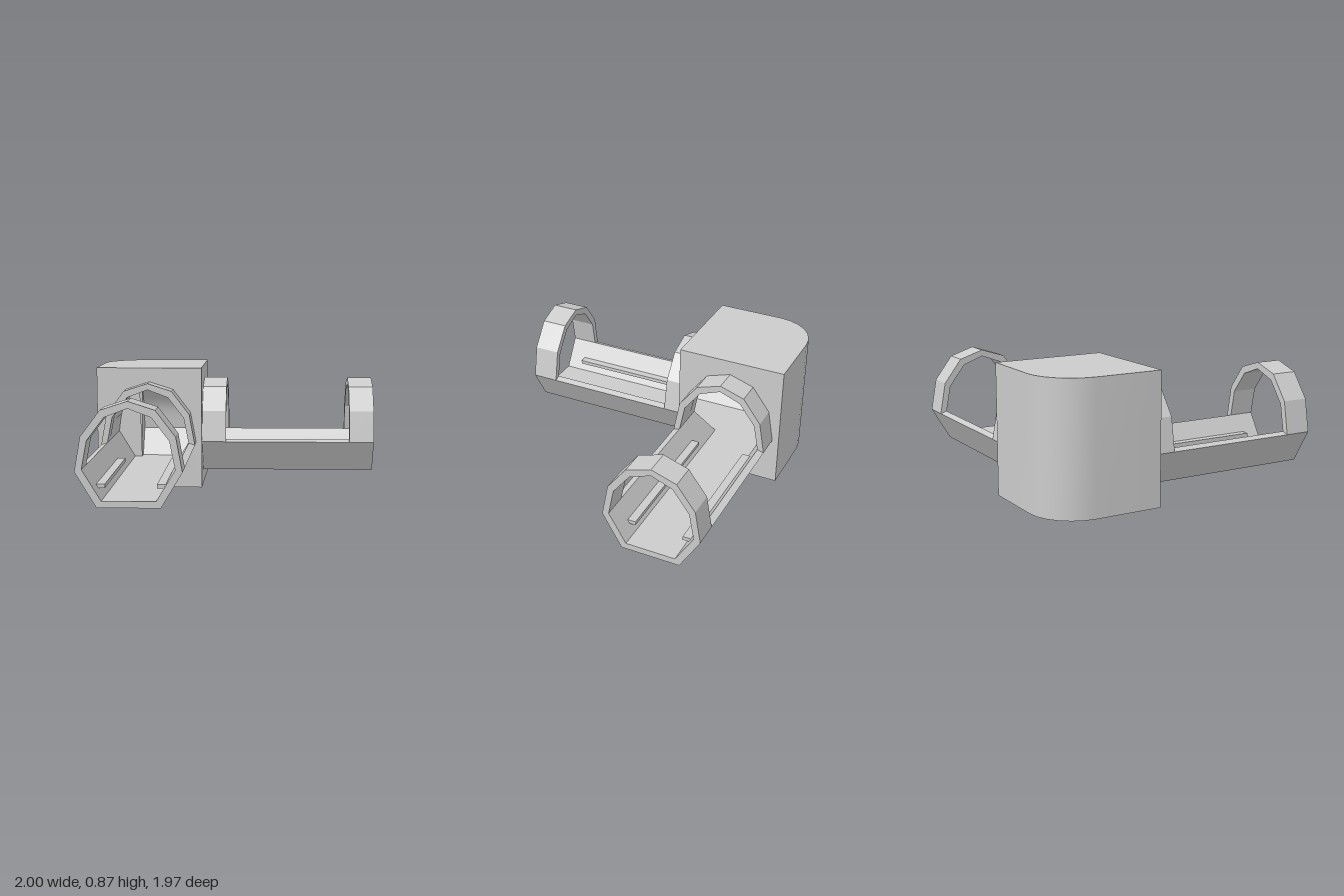
import * as THREE from 'three';
import { toCreasedNormals } from 'three/addons/utils/BufferGeometryUtils.js';

const solid = new THREE.MeshStandardMaterial({ color: 0xcccccc });
const shell = new THREE.MeshStandardMaterial({ color: 0xcccccc, side: THREE.DoubleSide });

// Axis where both arms meet, block size and the distance to its open faces
const CX = -0.62, CZ = -0.605, HEIGHT = 0.87, FACE = 0.375, BACK = 0.38;
const FLOOR = 0.147, FLOOR_HALF = 0.17;

// Right half of the cradle section, from bottom to top
const outerLow = [[0.2, 0.105], [0.335, 0.33]];
const outerHigh = [[0.335, 0.33], [0.295, 0.55], [0.17, 0.715], [0, 0.77]];
const innerLow = [[FLOOR_HALF, FLOOR], [0.29, 0.345]];
const innerHigh = [[0.29, 0.345], [0.255, 0.525], [0.145, 0.67], [0, 0.725]];

const vecs = (pts) => pts.map(([x, y]) => new THREE.Vector2(x, y));
const flip = (pts) => pts.map(([x, y]) => [-x, y]);

function add(parent, name, geometry, material = solid) {
  const mesh = new THREE.Mesh(geometry, material);
  mesh.name = name;
  parent.add(mesh);
  return mesh;
}

// Prism of a section between two distances along the arm
function prism(pts, from, to) {
  const geometry = new THREE.ExtrudeGeometry(new THREE.Shape(vecs(pts)), { depth: to - from, bevelEnabled: false });
  return geometry.translate(0, 0, from);
}

// Surface between two rows of points, smooth except at sharp corners
function sheet(rowA, rowB) {
  const pos = [];
  for (let i = 0; i < rowA.length - 1; i++) {
    pos.push(...rowA[i], ...rowB[i], ...rowA[i + 1], ...rowB[i], ...rowB[i + 1], ...rowA[i + 1]);
  }
  const geometry = new THREE.BufferGeometry();
  geometry.setAttribute('position', new THREE.Float32BufferAttribute(pos, 3));
  return toCreasedNormals(geometry, 0.5);
}

// Tunnel section: sloped lower walls and a smooth dome
function tunnelSection() {
  const high = [...flip(innerHigh), ...innerHigh.slice(0, -1).reverse()];
  const dome = new THREE.SplineCurve(vecs(high)).getPoints(48).map((p) => [p.x, p.y]);
  return [[-FLOOR_HALF, FLOOR], ...dome, [FLOOR_HALF, FLOOR]];
}

// Tray, two hoops and two rails, along local +z
function buildCradle(group, nearEnd, farStart, end) {
  const tray = [...flip(outerLow).reverse(), ...outerLow, ...[...innerLow].reverse(), ...flip(innerLow)];
  add(group, 'tray', prism(tray, FACE, end));

  const arch = [
    ...outerHigh, ...flip(outerHigh.slice(0, -1)).reverse(),
    ...flip(innerHigh), ...innerHigh.slice(0, -1).reverse(),
  ];
  add(group, 'innerHoop', prism(arch, FACE, nearEnd));
  add(group, 'outerHoop', prism(arch, farStart, end));

  for (const s of [-1, 1]) {
    const rail = add(group, s < 0 ? 'firstRail' : 'secondRail', new THREE.BoxGeometry(0.055, 0.026, end - 0.61));
    rail.position.set(s * 0.192, 0.219, (0.485 + end - 0.125) / 2);
  }
}

// Block face with its opening, and the tunnel behind it, mitred into the other one
function buildTunnel(group, side, deep, cut) {
  const section = tunnelSection();
  const face = new THREE.Shape(vecs([
    [side * BACK, 0], [-side * FACE, 0], [-side * FACE, HEIGHT], [side * BACK, HEIGHT],
  ]));
  face.holes.push(new THREE.Path(vecs(section)));
  add(group, 'blockFace', new THREE.ShapeGeometry(face).translate(0, 0, FACE), shell);

  const depthAt = (u) => (side * u > cut ? deep : Math.abs(u));
  add(group, 'tunnelWall', sheet(
    section.map(([u, y]) => [u, y, FACE]),
    section.map(([u, y]) => [u, y, depthAt(u)]),
  ), shell);

  const floor = new THREE.PlaneGeometry(FLOOR_HALF * 2, FACE - deep).rotateX(-Math.PI / 2);
  add(group, 'tunnelFloor', floor.translate(0, FLOOR, (FACE + deep) / 2), shell);

  const cap = [...section.filter(([u]) => side * u >= cut), [side * cut, FLOOR]];
  add(group, 'tunnelEnd', new THREE.ShapeGeometry(new THREE.Shape(vecs(cap))).translate(0, 0, deep), shell);
}

// Closed sides, top and bottom of the corner block, with one rounded edge
function buildBlock(group) {
  const left = CX - BACK, right = CX + FACE, back = CZ - BACK, front = CZ + FACE, r = 0.3;
  const path = [[right, back]];
  for (let i = 0; i <= 6; i++) {
    const a = (i / 6) * Math.PI / 2;
    path.push([left + r - r * Math.sin(a), back + r - r * Math.cos(a)]);
  }
  path.push([left, front]);
  add(group, 'blockSides', sheet(
    path.map(([x, z]) => [x, HEIGHT, z]),
    path.map(([x, z]) => [x, 0, z]),
  ), shell);

  const plan = [...path, [right, front]];
  const top = new THREE.ShapeGeometry(new THREE.Shape(vecs(plan.map(([x, z]) => [x, -z]))));
  add(group, 'blockTop', top.rotateX(-Math.PI / 2).translate(0, HEIGHT, 0), shell);
  const bottom = new THREE.ShapeGeometry(new THREE.Shape(vecs(plan)));
  add(group, 'blockBottom', bottom.rotateX(Math.PI / 2), shell);
}

export function createModel() {
  const model = new THREE.Group();
  model.name = 'cornerCradle';

  const block = new THREE.Group();
  block.name = 'cornerBlock';
  buildBlock(block);
  model.add(block);

  // Arm toward the front
  const frontArm = new THREE.Group();
  frontArm.name = 'frontArm';
  frontArm.position.set(CX, 0, CZ);
  buildCradle(frontArm, 0.508, 1.407, 1.588);
  buildTunnel(frontArm, -1, -0.105, 0.115);

  // Arm toward the left side
  const sideArm = new THREE.Group();
  sideArm.name = 'sideArm';
  sideArm.position.set(CX, 0, CZ);
  sideArm.rotation.y = Math.PI / 2;
  buildCradle(sideArm, 0.547, 1.443, 1.62);
  buildTunnel(sideArm, 1, -0.115, 0.105);

  model.add(frontArm, sideArm);
  return model;
}
